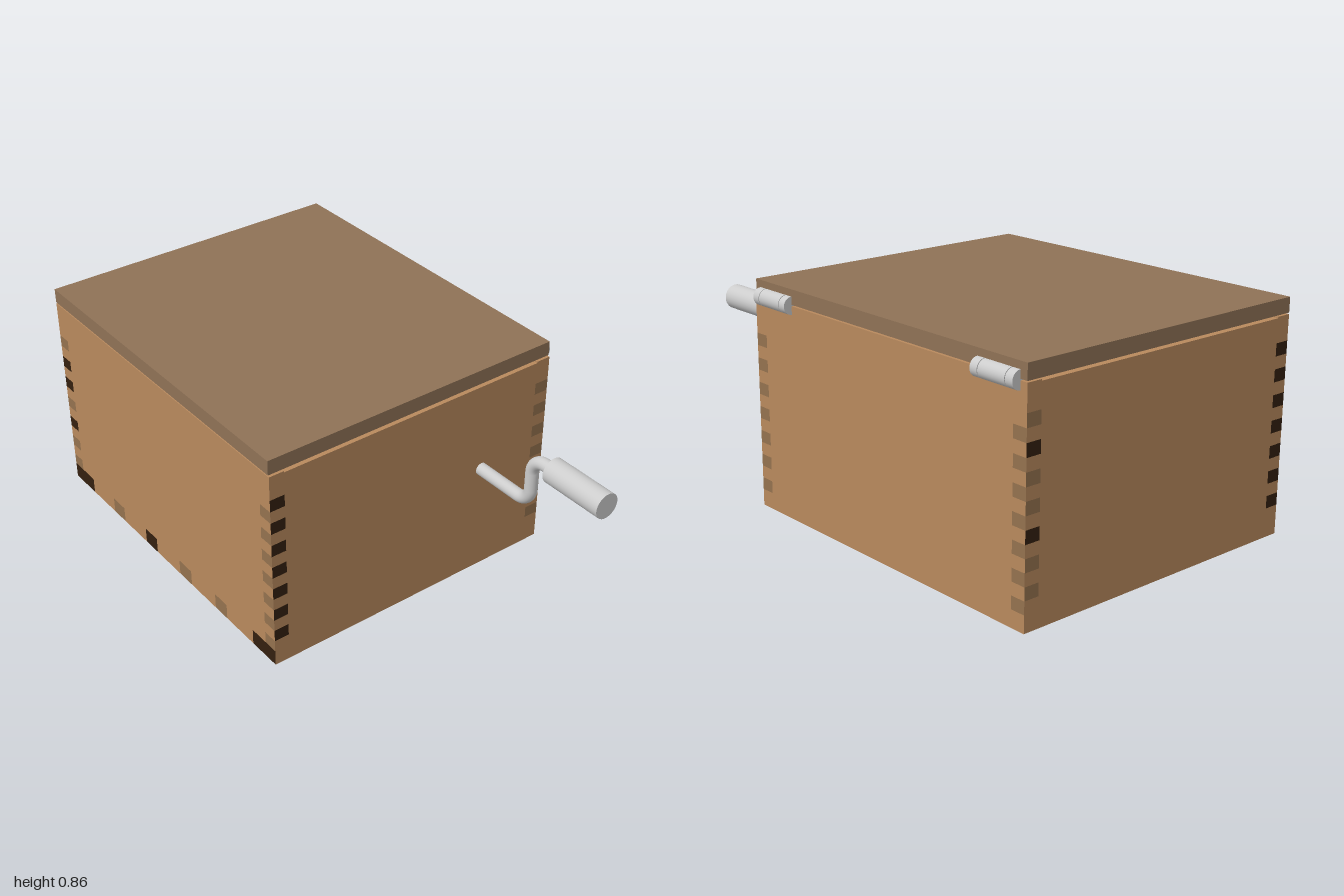
import * as THREE from 'three';

const mat = (name, color) => {
  const m = new THREE.MeshStandardMaterial({ color });
  m.name = name;
  return m;
};

export function createModel() {
  const wood = mat('light wood', 0xb8895d);
  const lidWood = mat('lid wood', 0x8f7256);
  const endGrain = mat('end grain', 0x94724f);
  const burnt = mat('burnt end grain', 0x33200f);
  const metal = mat('metal', 0xcccccc);

  const root = new THREE.Group();
  root.name = 'crankBox';

  // Box given by its limits on each axis
  const slab = (parent, name, x0, x1, y0, y1, z0, z1, material) => {
    const geo = new THREE.BoxGeometry(x1 - x0, y1 - y0, z1 - z0);
    geo.translate((x0 + x1) / 2, (y0 + y1) / 2, (z0 + z1) / 2);
    const mesh = new THREE.Mesh(geo, material);
    mesh.name = name;
    parent.add(mesh);
    return mesh;
  };
  // Face materials: ends on x, or ends on z, wood elsewhere
  const grainX = (m) => [m, m, wood, wood, wood, wood];
  const grainZ = (front, back) => [wood, wood, wood, wood, front, back];

  const L = -1, R = 0.397, B = -0.588, F = 0.619;
  const T = 0.058, FLOOR = 0.062, WALL = 0.795;

  // Floor and walls between the corner joints
  const body = new THREE.Group();
  body.name = 'body';
  root.add(body);
  slab(body, 'floor', L + T, R - T, 0, FLOOR, B + T, F - T, wood);
  slab(body, 'frontWall', L + T, R - T, FLOOR, WALL, F - T, F, wood);
  slab(body, 'backWall', L + T, R - T, 0, WALL, B, B + T, wood);
  slab(body, 'leftWall', L, L + T, 0, 0.79, B + T, F - T, wood);
  slab(body, 'rightWall', R - T, R, 0, 0.79, B + T, F - T, wood);

  // Finger joints: fingers of the two walls alternate up each corner
  const pitch = 0.0915, tooth = 0.046, firstTooth = 0.108;
  const corner = (name, x0, z0, sideGrain, faceGrain) => {
    const group = new THREE.Group();
    group.name = name;
    body.add(group);
    const x1 = x0 + T, z1 = z0 + T;
    let y = FLOOR;
    for (let i = 0; i < 7; i++) {
      const y0 = firstTooth + i * pitch;
      const f = faceGrain(i);
      slab(group, 'sideFinger', x0, x1, y, y0, z0, z1, grainZ(f, f));
      slab(group, 'faceFinger', x0, x1, y0, y0 + tooth, z0, z1, grainX(sideGrain(i)));
      y = y0 + tooth;
    }
    slab(group, 'topFinger', x0, x1, y, WALL, z0, z1, wood);
  };
  corner('frontLeftJoint', L, F - T, () => burnt, (i) => ([2, 4, 5].includes(i) ? burnt : endGrain));
  corner('frontRightJoint', R - T, F - T, () => burnt, () => endGrain);
  corner('backLeftJoint', L, B, (i) => (i % 3 === 2 ? burnt : endGrain), () => endGrain);
  corner('backRightJoint', R - T, B, () => endGrain, () => endGrain);
  for (const x of [L, R - T]) slab(body, 'backFoot', x, x + T, 0, FLOOR, B, B + T, wood);

  // Floor fingers along the lower front edge
  const floorFingers = [
    [L, -0.86, burnt], [-0.7, -0.62, endGrain], [-0.46, -0.38, burnt],
    [-0.22, -0.14, endGrain], [0.02, 0.095, endGrain], [0.26, R, burnt],
  ];
  floorFingers.forEach(([x0, x1, m], i) => {
    slab(body, 'floorFinger', x0, x1, 0, FLOOR, F - T, F, grainZ(m, wood));
    const next = floorFingers[i + 1];
    if (next) slab(body, 'frontWallFinger', x1, next[0], 0, FLOOR, F - T, F, wood);
  });

  // Lid
  slab(root, 'lid', L, 0.392, 0.8, 0.855, B, F, lidWood);
  slab(root, 'lidRebate', L + T, R - T, 0.78, 0.8, B + T, F - T, lidWood);

  // Cylinder lying along x
  const bar = (parent, name, x0, x1, y, z, r) => {
    const geo = new THREE.CylinderGeometry(r, r, x1 - x0, 32);
    geo.rotateZ(-Math.PI / 2);
    const mesh = new THREE.Mesh(geo, metal);
    mesh.position.set((x0 + x1) / 2, y, z);
    mesh.name = name;
    parent.add(mesh);
  };

  // Hinges: three knuckles on a pin
  for (const x of [-0.97, 0.178]) {
    const hinge = new THREE.Group();
    hinge.name = 'hinge';
    root.add(hinge);
    const w = 0.187, y = 0.797;
    bar(hinge, 'hingePin', x + 0.005, x + w - 0.005, y, B, 0.029);
    bar(hinge, 'knuckle', x, x + 0.032, y, B, 0.032);
    bar(hinge, 'knuckle', x + 0.035, x + w - 0.035, y, B, 0.032);
    bar(hinge, 'knuckle', x + w - 0.032, x + w, y, B, 0.032);
  }

  // Crank: bent rod and a round grip
  const crank = new THREE.Group();
  crank.name = 'crank';
  root.add(crank);
  const cz = -0.29, lo = 0.437, hi = 0.63, cx = 0.652, r = 0.06;
  const p = (x, y) => new THREE.Vector3(x, y, cz);
  const k = r * 0.448;
  const path = new THREE.CurvePath();
  path.add(new THREE.LineCurve3(p(0.36, lo), p(cx - r, lo)));
  path.add(new THREE.CubicBezierCurve3(p(cx - r, lo), p(cx - k, lo), p(cx, lo + k), p(cx, lo + r)));
  path.add(new THREE.LineCurve3(p(cx, lo + r), p(cx, hi - r)));
  path.add(new THREE.CubicBezierCurve3(p(cx, hi - r), p(cx, hi - k), p(cx + k, hi), p(cx + r, hi)));
  path.add(new THREE.LineCurve3(p(cx + r, hi), p(0.76, hi)));
  const rod = new THREE.Mesh(new THREE.TubeGeometry(path, 80, 0.024, 20), metal);
  rod.name = 'crankRod';
  crank.add(rod);
  bar(crank, 'crankGrip', 0.747, 1, hi, cz, 0.048);

  return root;
}
